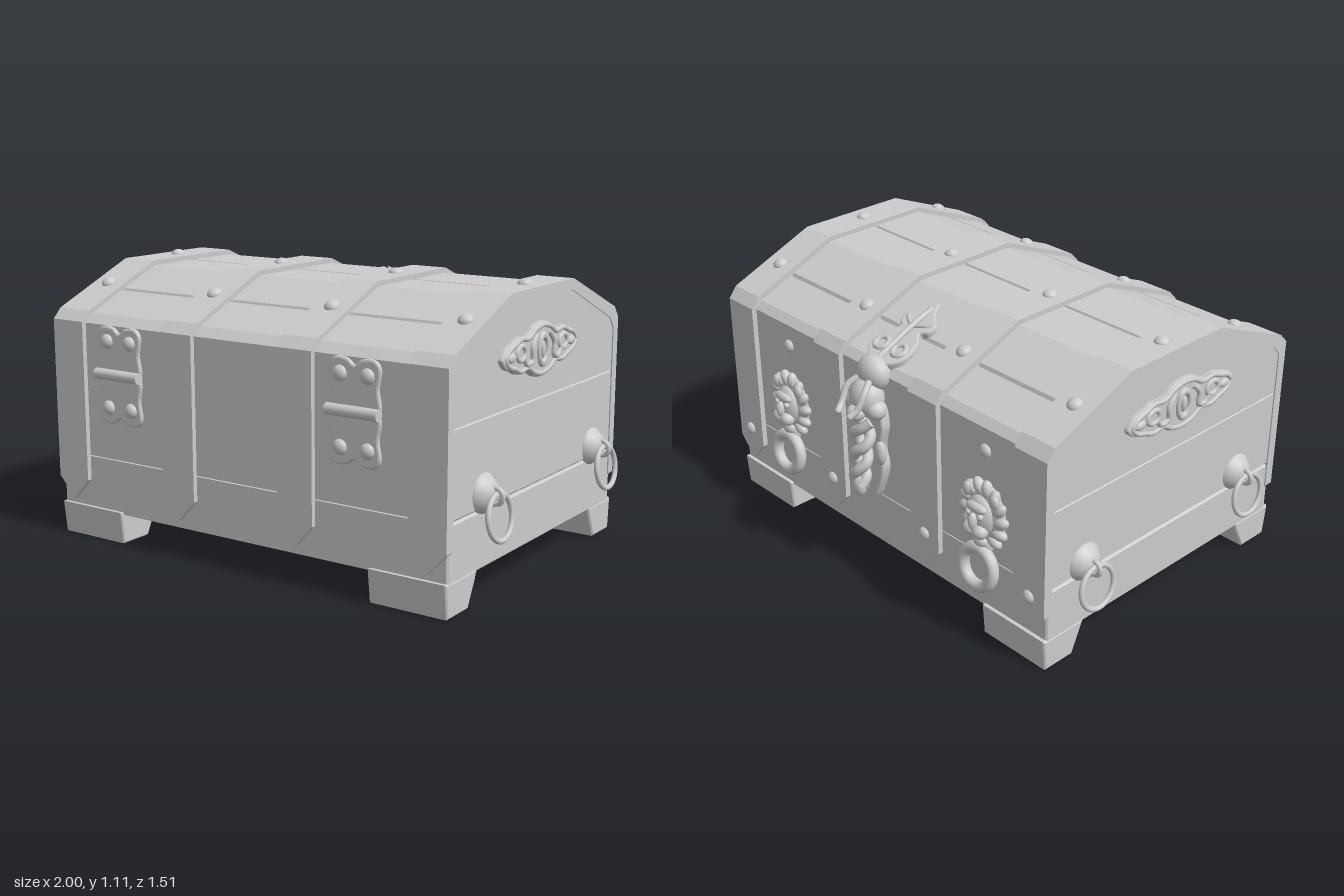
import * as THREE from 'three';

const material = new THREE.MeshStandardMaterial({ color: 0xcccccc });
const V = (x, y, z) => new THREE.Vector3(x, y, z);

function add(parent, name, geometry, x = 0, y = 0, z = 0, scale = [1, 1, 1]) {
  const mesh = new THREE.Mesh(geometry, material);
  mesh.name = name;
  mesh.position.set(x, y, z);
  mesh.scale.set(...scale);
  parent.add(mesh);
  return mesh;
}

function addGroup(parent, name, x, y, z, turn = 0) {
  const group = new THREE.Group();
  group.name = name;
  group.position.set(x, y, z);
  group.rotation.y = turn;
  parent.add(group);
  return group;
}

// Extrudes a [z, y] profile along x, centred on x = 0
function alongX(profile, width, bevel = 0, steps = 1) {
  const shape = new THREE.Shape(profile.map(([z, y]) => new THREE.Vector2(-z, y)));
  const geometry = new THREE.ExtrudeGeometry(shape, {
    depth: width - 2 * bevel, steps, bevelEnabled: bevel > 0,
    bevelSize: bevel, bevelThickness: bevel, bevelOffset: -bevel, bevelSegments: 1,
  });
  return geometry.rotateY(Math.PI / 2).translate(bevel - width / 2, 0, 0);
}

// Rounded plate from the right half of its outline, listed top to bottom
function plate(half, depth, bevel = 0.008) {
  const left = half.filter(([x]) => x > 0).map(([x, y]) => [-x, y]).reverse();
  const curve = new THREE.CatmullRomCurve3([...half, ...left].map(([x, y]) => V(x, y, 0)), true, 'centripetal');
  const shape = new THREE.Shape(curve.getPoints(72).slice(0, -1).map((p) => new THREE.Vector2(p.x, p.y)));
  return new THREE.ExtrudeGeometry(shape, {
    depth: depth - bevel, bevelSize: bevel, bevelThickness: bevel, bevelOffset: -bevel, bevelSegments: 2,
  });
}

const ball = (r) => new THREE.SphereGeometry(r, 20, 14);
const tube = (points, r) => new THREE.TubeGeometry(new THREE.CatmullRomCurve3(points), 32, r, 10);

function rivet(parent, x, y, z, normal, r = 0.03) {
  const dome = new THREE.SphereGeometry(r, 18, 7, 0, Math.PI * 2, 0, Math.PI / 2);
  add(parent, 'rivet', dome, x, y, z, [1, 0.75, 1]).quaternion.setFromUnitVectors(V(0, 1, 0), normal.normalize());
}

// Outer [z, y] line of the metal straps, front to back
const strapLine = [[0.72, 0.24], [0.72, 0.885], [0.68, 0.925], [0.295, 1.085],
  [-0.195, 1.085], [-0.575, 0.93], [-0.612, 0.885], [-0.612, 0.24]];
const strapX = [-0.837, -0.28, 0.275, 0.837];

function addBox(root) {
  const chest = addGroup(root, 'chestBox', 0, 0, 0);
  const slab = (y0, y1) => alongX([[0.7, y0], [0.7, y1], [-0.59, y1], [-0.59, y0]], 1.82, 0.007);
  add(chest, 'lowerPlank', slab(0.12, 0.338));
  add(chest, 'upperPlank', slab(0.342, 0.671));
  // Arched lid with plank grooves cut into its top
  const lid = [[0.7, 0.671], [0.7, 0.88], [0.66, 0.914]];
  const slopeY = (z) => (z > 0.29 ? 1.065 - (z - 0.29) * 0.408 : z < -0.19 ? 1.065 + (z + 0.19) * 0.419 : 1.065);
  const groove = (z) => [[z + 0.008, slopeY(z + 0.008)], [z, slopeY(z) - 0.014], [z - 0.008, slopeY(z - 0.008)]];
  lid.push(...groove(0.48), [0.29, 1.065], ...groove(0.05), [-0.19, 1.065], ...groove(-0.4));
  lid.push([-0.56, 0.91], [-0.59, 0.88], [-0.59, 0.671]);
  add(chest, 'lid', alongX(lid, 1.82));
  // Feet, splayed inward towards the top
  const front = [[0.7, 0], [0.715, 0.13], [0.5, 0.13], [0.515, 0.09], [0.56, 0]];
  const back = [[-0.595, 0], [-0.605, 0.13], [-0.4, 0.13], [-0.415, 0.09], [-0.455, 0]];
  for (const x of [-0.75, 0.75]) {
    add(chest, 'frontFoot', alongX(front, 0.325, 0.006), x);
    add(chest, 'backFoot', alongX(back, 0.325, 0.006), x);
  }
}

function addStraps(root) {
  const inner = strapLine.map(([z, y]) => [0.054 + (z - 0.054) * 0.94, y < 0.3 ? y : y - 0.04]).reverse();
  const geometry = alongX([...strapLine, ...inner], 0.156, 0, 2);
  // Pull the middle of both lower ends down to a point
  const p = geometry.attributes.position;
  for (let i = 0; i < p.count; i++) {
    if (Math.abs(p.getX(i)) < 0.01 && p.getY(i) < 0.3) p.setY(i, 0.155);
  }
  geometry.computeVertexNormals();
  for (const x of strapX) {
    const strap = addGroup(root, 'strap', x, 0, 0);
    add(strap, 'strapBand', geometry);
    rivet(strap, 0, 1.03 - 0.03 + 0.007, 0.48, V(0, 0.92, 0.38));
    rivet(strap, 0, 1.083, 0.05, V(0, 1, 0));
    rivet(strap, 0, 0.999, -0.4, V(0, 0.92, -0.38));
    rivet(strap, 0, 0.3, -0.61, V(0, 0, -1), 0.027);
  }
}

function addHinge(root, x) {
  const hinge = addGroup(root, 'hinge', x, 0.685, 0.692);
  const leaf = plate([[0, 0.17], [0.03, 0.19], [0.085, 0.192], [0.108, 0.165], [0.1, 0.09], [0.105, 0.01], [0, 0]], 0.022);
  add(hinge, 'hingeLeaf', leaf);
  add(hinge, 'hingeLeaf', leaf).rotation.z = Math.PI;
  add(hinge, 'hingePin', new THREE.CylinderGeometry(0.022, 0.022, 0.22, 16), 0, 0.005, 0.03).rotation.z = Math.PI / 2;
  for (const sx of [-0.058, 0.058]) for (const sy of [-0.13, 0.135]) rivet(hinge, sx, sy, 0.02, V(0, 0, 1), 0.03);
}

function addRingHandle(root, side, z, y) {
  const handle = addGroup(root, 'ringHandle', side * 0.905, y, z, side * Math.PI / 2);
  const boss = [[0.074, 0], [0.074, 0.012], [0.062, 0.024], [0.05, 0.042], [0.025, 0.055], [0, 0.058]];
  const dome = new THREE.LatheGeometry(boss.map(([r, h]) => new THREE.Vector2(r, h)), 28);
  add(handle, 'ringBoss', dome, 0, 0.065).rotation.x = Math.PI / 2;
  add(handle, 'ringStaple', new THREE.TorusGeometry(0.028, 0.01, 10, 24), 0, 0.062, 0.056).rotation.y = Math.PI / 2;
  add(handle, 'ring', new THREE.TorusGeometry(0.084, 0.0105, 12, 40), 0, -0.012, 0.075).rotation.x = -0.14;
}

function addEndOrnament(root, side) {
  const ornament = addGroup(root, 'endOrnament', side * 0.9, 0.857, 0.08, side * Math.PI / 2);
  const upper = [[0, 0.103], [0.065, 0.09], [0.115, 0.062], [0.18, 0.068], [0.225, 0.05], [0.27, 0.035], [0.3, 0.004]];
  const outline = [...upper, ...upper.map(([x, y]) => [x, -y]).reverse()];
  add(ornament, 'ornamentPlate', plate(outline, 0.03));
  // Raised rim and scrollwork
  const rim = [...outline, ...outline.slice(1, -1).map(([x, y]) => [-x, y]).reverse()];
  const rimCurve = new THREE.CatmullRomCurve3(rim.map(([x, y]) => V(x * 0.92, y * 0.86, 0.028)), true, 'centripetal');
  add(ornament, 'ornamentRim', new THREE.TubeGeometry(rimCurve, 120, 0.01, 8, true));
  add(ornament, 'centreOval', new THREE.TorusGeometry(0.04, 0.012, 10, 32), 0, 0, 0.03, [0.8, 1.3, 1]);
  add(ornament, 'centreBead', ball(0.018), 0, 0, 0.03, [0.7, 1.8, 0.7]);
  for (const s of [-1, 1]) {
    add(ornament, 'scroll', tube([V(s * 0.05, 0.06, 0.03), V(s * 0.085, 0.02, 0.034), V(s * 0.085, -0.03, 0.034),
      V(s * 0.12, -0.04, 0.03), V(s * 0.15, -0.01, 0.032)], 0.011));
    add(ornament, 'sideOval', new THREE.TorusGeometry(0.026, 0.01, 10, 24), s * 0.165, 0.008, 0.03, [1.2, 1, 1]);
    add(ornament, 'tipLeaf', ball(0.025), s * 0.235, 0, 0.028, [1.2, 0.7, 0.5]);
  }
}

function addLionKnocker(root, x) {
  const lion = addGroup(root, 'lionKnocker', x, 0.53, -0.585, Math.PI);
  add(lion, 'mane', ball(0.1), 0, 0, 0.005, [1.05, 1.35, 0.35]);
  // Mane locks around the face
  for (let i = 0; i < 14; i++) {
    const a = (i / 14) * Math.PI * 2;
    const lock = add(lion, 'maneLock', ball(0.028), Math.cos(a) * 0.09, Math.sin(a) * 0.115, 0.016, [1.3, 0.8, 0.8]);
    lock.rotation.z = a + 0.4;
  }
  add(lion, 'face', ball(0.07), 0, 0, 0.025, [0.95, 1.25, 0.6]);
  add(lion, 'brow', ball(0.035), 0, 0.045, 0.052, [1.4, 0.6, 0.6]);
  add(lion, 'nose', ball(0.022), 0, -0.005, 0.07, [0.8, 1.6, 0.9]);
  for (const s of [-1, 1]) {
    add(lion, 'ear', ball(0.025), s * 0.07, 0.085, 0.03, [0.9, 1.1, 0.6]);
    add(lion, 'eye', ball(0.012), s * 0.03, 0.02, 0.062);
    add(lion, 'muzzle', ball(0.032), s * 0.024, -0.045, 0.058, [1, 0.9, 0.9]);
  }
  add(lion, 'chin', ball(0.03), 0, -0.105, 0.03, [1.1, 0.9, 0.8]);
  add(lion, 'knockerRing', new THREE.TorusGeometry(0.077, 0.024, 12, 36), 0, -0.215, 0.045).rotation.x = -0.12;
}

function addClasp(root) {
  const clasp = addGroup(root, 'clasp', 0, 0, 0, Math.PI);
  // Leaf lying on the back slope of the lid
  const leaf = addGroup(clasp, 'claspLeaf', 0, 0.965, 0.42);
  leaf.rotation.x = -1.175;
  const half = [[0, 0.175], [0.035, 0.12], [0.085, 0.075], [0.08, 0.035], [0.055, 0.015], [0.09, -0.03], [0.095, -0.12], [0.05, -0.17], [0, -0.175]];
  add(leaf, 'leafPlate', plate(half, 0.03));
  add(leaf, 'leafRib', tube([V(0, 0.14, 0.03), V(0, 0.03, 0.036), V(0, -0.15, 0.03)], 0.012));
  for (const s of [-1, 1]) {
    add(leaf, 'leafVein', tube([V(0, 0.03, 0.03), V(s * 0.04, 0.05, 0.032), V(s * 0.065, 0.07, 0.028)], 0.009));
    add(leaf, 'leafScroll', new THREE.TorusGeometry(0.028, 0.011, 10, 24), s * 0.05, -0.09, 0.03);
  }
  // Carved head at the lid edge
  add(clasp, 'neck', ball(0.07), 0, 0.88, 0.6, [1.1, 1, 0.8]);
  add(clasp, 'head', ball(0.075), 0, 0.79, 0.64, [1, 1.05, 0.85]);
  add(clasp, 'snout', ball(0.042), 0, 0.745, 0.69, [0.9, 0.8, 1]);
  for (const s of [-1, 1]) {
    add(clasp, 'cheek', ball(0.04), s * 0.06, 0.76, 0.645);
    add(clasp, 'horn', tube([V(s * 0.03, 0.87, 0.65), V(s * 0.05, 0.84, 0.69), V(s * 0.045, 0.78, 0.725), V(s * 0.035, 0.76, 0.75)], 0.013));
    add(clasp, 'hornTip', ball(0.013), s * 0.035, 0.76, 0.75);
    // Braided strands hanging from the head
    const strand = [];
    for (let i = 0; i <= 8; i++) {
      const a = i * 1.25;
      strand.push(V(s * Math.cos(a) * (0.048 - i * 0.003), 0.71 - i * 0.035, 0.66 + i * 0.004 + s * Math.sin(a) * 0.02));
    }
    add(clasp, 'strand', tube(strand, 0.022));
    add(clasp, 'sideLeaf', ball(0.035), s * 0.05, 0.56, 0.625, [0.8, 1.5, 0.6]);
  }
  add(clasp, 'tassel', ball(0.034), 0, 0.425, 0.695, [1, 1.4, 0.75]);
  const back = [[0, 0.2], [0.05, 0.18], [0.07, 0.1], [0.05, 0], [0.065, -0.08], [0.035, -0.18], [0, -0.24]];
  add(clasp, 'claspPlate', plate(back, 0.05), 0, 0.58, 0.58);
}

export function createModel() {
  const root = new THREE.Group();
  root.name = 'treasureChest';
  addBox(root);
  addStraps(root);
  for (const x of [-0.575, 0.53]) addHinge(root, x);
  for (const side of [-1, 1]) {
    addRingHandle(root, side, 0.465, 0.335);
    addRingHandle(root, side, -0.405, 0.325);
    addEndOrnament(root, side);
  }
  for (const x of [-0.595, 0.545]) {
    addLionKnocker(root, x);
    rivet(root, x, 0.79, -0.588, V(0, 0, -1), 0.028);
  }
  addClasp(root);
  return root;
}
